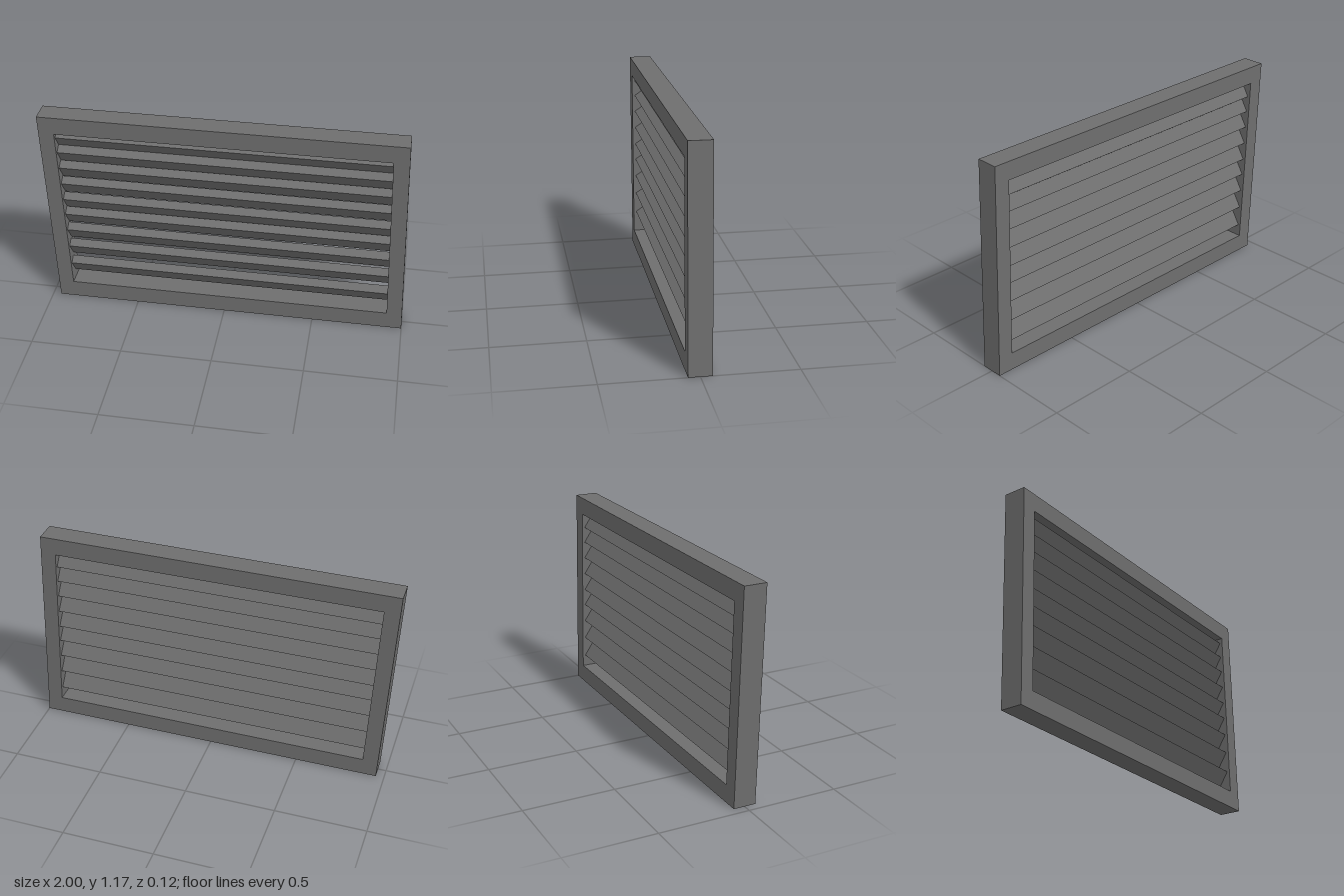
import * as THREE from 'three';

const HEIGHT = 1.17, DEPTH = 0.123, HALF_WIDTH = 0.9775;
const SIDE = 0.084, RAIL = 0.098;

export function createModel() {
  const group = new THREE.Group();
  const material = new THREE.MeshStandardMaterial({ color: 0x6e6e6e, flatShading: true });

  // The whole vent leans sideways: x shifts towards -x as y rises.
  const lean = new THREE.Matrix4().set(
    1, -0.045 / HEIGHT, 0, 0.0225,
    0, 1, 0, 0,
    0, 0, 1, 0,
    0, 0, 0, 1
  );
  const add = (geometry, name) => {
    const mesh = new THREE.Mesh(geometry.applyMatrix4(lean), material);
    mesh.name = name;
    group.add(mesh);
  };
  const rectangle = (Type, halfWidth, bottom, top) => new Type([
    new THREE.Vector2(-halfWidth, bottom),
    new THREE.Vector2(halfWidth, bottom),
    new THREE.Vector2(halfWidth, top),
    new THREE.Vector2(-halfWidth, top),
  ]);

  // Outer frame with its rectangular opening
  const outline = rectangle(THREE.Shape, HALF_WIDTH, 0, HEIGHT);
  outline.holes.push(rectangle(THREE.Path, HALF_WIDTH - SIDE, RAIL, HEIGHT - RAIL));
  const frame = new THREE.ExtrudeGeometry(outline, { depth: DEPTH, bevelEnabled: false });
  add(frame.translate(0, 0, -DEPTH / 2), 'frame');

  // Tilted slats, front edge high and back edge low, spaced wider near the bottom
  const slatHeights = [1.015, 0.924, 0.827, 0.726, 0.624, 0.527, 0.422, 0.311, 0.193];
  slatHeights.forEach((y, i) => {
    const slat = new THREE.BoxGeometry(2 * (HALF_WIDTH - SIDE), 0.049, 0.097);
    slat.rotateX(THREE.MathUtils.degToRad(-57)).translate(0, y, 0);
    add(slat, `slat${i + 1}`);
  });

  return group;
}
